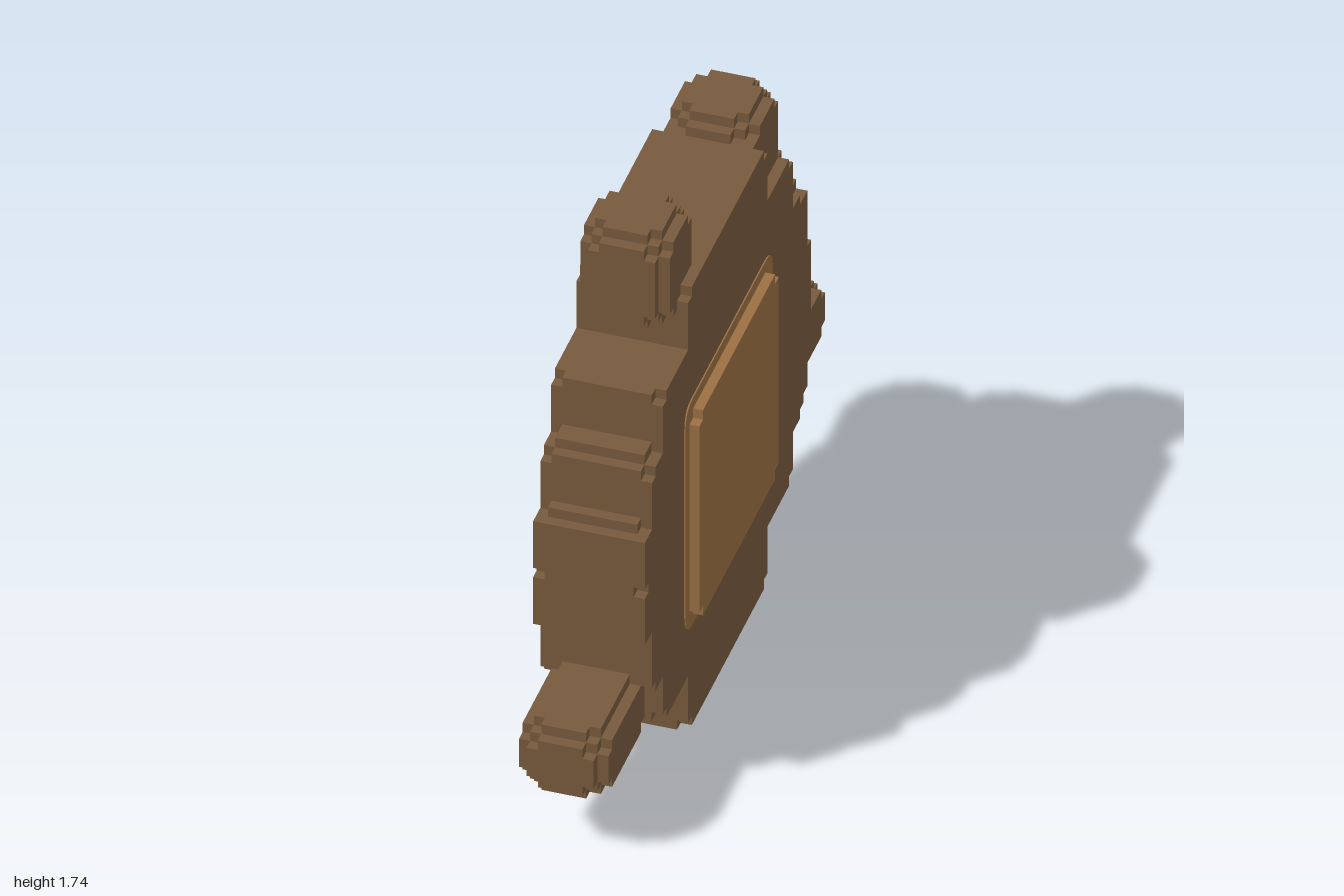
import * as THREE from 'three';
import { mergeGeometries } from 'three/addons/utils/BufferGeometryUtils.js';

const V = 2 / 62; // one voxel

// box given by its limits, in voxels
function box(x0, x1, y0, y1, z0, z1) {
  const g = new THREE.BoxGeometry((x1 - x0) * V, (y1 - y0) * V, (z1 - z0) * V);
  g.translate((x0 + x1) / 2 * V, (y0 + y1) / 2 * V, (z0 + z1) / 2 * V);
  return g;
}

// slab with its outer corner voxels missing on both broad faces
function notchedSlab(y0, y1, z0, z1, x0 = -5.5, x1 = 4.5) {
  return [
    box(x0 + 1, x1 - 1, y0, y1, z0, z1),
    box(x0, x1, y0 + 1, y1 - 1, z0, z1),
    box(x0, x1, y0, y1, z0 + 1, z1 - 1),
  ];
}

// voxel-rounded block: overlapping boxes inset differently on each axis
function roundedBlock(y0, y1, z0, z1, x0 = -4.5, x1 = 3.5) {
  const insets = [[0, 1, 2], [0, 2, 1], [1, 0, 2], [1, 2, 0], [2, 0, 1], [2, 1, 0], [1, 1, 1]];
  return insets.map(([a, b, c]) => box(x0 + a, x1 - a, y0 + b, y1 - b, z0 + c, z1 - c));
}

export function createModel() {
  const group = new THREE.Group();
  const brown = new THREE.MeshStandardMaterial({ color: 0x785a3d });
  brown.name = 'brown';
  const tan = new THREE.MeshStandardMaterial({ color: 0x9c7044 });
  tan.name = 'tan';

  function add(name, geometries, material) {
    const mesh = new THREE.Mesh(mergeGeometries(geometries), material);
    mesh.name = name;
    group.add(mesh);
  }

  // stepped disc-like body
  add('body', [
    ...notchedSlab(0, 47, -11, 11),
    ...notchedSlab(6, 41, -18, 18),
  ], brown);

  // front rim steps
  add('frontRim', [
    ...notchedSlab(11, 35, 10, 21),
    box(-4.5, 3.5, 11, 36, 10, 20),
    box(-4.5, 3.5, 17, 30, 10, 22),
    box(-4.5, 3.5, 18, 29, 10, 23),
    box(-5.5, 4.5, 18, 29, 10, 22),
    box(-5.5, 4.5, 18, 23, 22, 23),
    box(-5.5, 4.5, 24, 29, 22, 23),
  ], brown);

  // back rim steps
  add('backRim', [
    ...notchedSlab(11, 35, -21, -10),
    box(-4.5, 3.5, 11, 36, -21, -10),
    box(-4.5, 3.5, 12, 35, -22, -10),
    box(-5.5, 4.5, 13, 34, -22, -10),
    ...notchedSlab(18, 29, -23, -10),
  ], brown);

  // rounded knobs and arms
  add('topFrontKnob', roundedBlock(44, 54, 6, 14), brown);
  add('topBackKnob', roundedBlock(39, 49, -18, -10), brown);
  add('frontArm', roundedBlock(6, 13, 19, 31), brown);
  add('backArm', roundedBlock(12, 19, -31, -19), brown);

  // raised side panel
  add('sidePanel', [
    box(4.5, 5.5, 13, 33, -11, 11),
    box(4.5, 5.5, 12, 34, -10, 10),
  ], tan);

  // thin round-cornered border under the panel
  const h = 12.1 * V, r = 0.065;
  const s = new THREE.Shape();
  s.moveTo(-h + r, -h);
  s.lineTo(h - r, -h);
  s.quadraticCurveTo(h, -h, h, -h + r);
  s.lineTo(h, h - r);
  s.quadraticCurveTo(h, h, h - r, h);
  s.lineTo(-h + r, h);
  s.quadraticCurveTo(-h, h, -h, h - r);
  s.lineTo(-h, -h + r);
  s.quadraticCurveTo(-h, -h, -h + r, -h);
  const border = new THREE.ExtrudeGeometry(s, { depth: 0.004, bevelEnabled: false, curveSegments: 5 });
  border.rotateY(Math.PI / 2);
  border.translate(4.5 * V, 23.05 * V, 0);
  add('panelBorder', [border], tan);

  return group;
}
